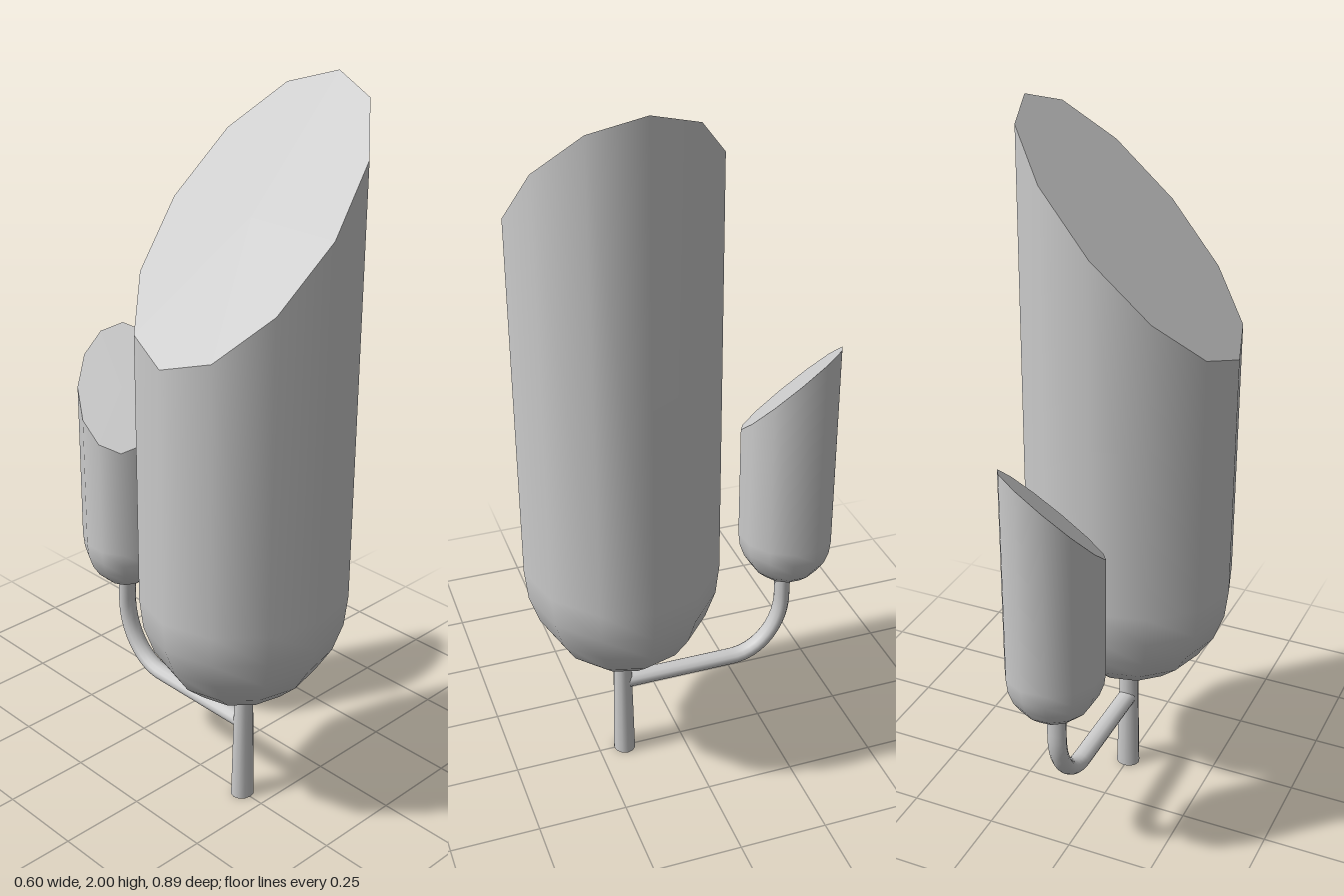
import * as THREE from 'three';

const material = new THREE.MeshStandardMaterial({ color: 0xcccccc });

function addMesh(parent, geometry, name) {
  const mesh = new THREE.Mesh(geometry, material);
  mesh.name = name;
  parent.add(mesh);
  return mesh;
}

// Raise vertices above the given height along the slanted cut
function slant(geometry, above) {
  const p = geometry.attributes.position;
  for (let i = 0; i < p.count; i++) {
    if (p.getY(i) > above) p.setY(i, p.getY(i) + p.getX(i) * 1.033);
  }
  return geometry;
}

// Rounded-bottom oval pod with a slanted flat top; its base is at y = 0
function createPod(name) {
  const pod = new THREE.Group();
  pod.name = name;
  const R = 0.3, H = 0.34, sides = 12, top = 1.335;
  const low = H * Math.sin(Math.PI * 75 / 180);
  const profile = [];
  for (let deg = 75; deg >= 0; deg -= 15) {
    const a = THREE.MathUtils.degToRad(deg);
    profile.push(new THREE.Vector2(R * Math.cos(a), low - H * Math.sin(a)));
  }
  profile.push(new THREE.Vector2(R, top));
  addMesh(pod, slant(new THREE.LatheGeometry(profile, sides), 1), 'podShell');

  const cap = new THREE.CircleGeometry(R, sides).rotateX(-Math.PI / 2).translate(0, top, 0);
  slant(cap, 1).computeVertexNormals();
  addMesh(pod, cap, 'slantedTop');

  addMesh(pod, new THREE.CircleGeometry(profile[0].x, sides).rotateX(Math.PI / 2), 'podBase');
  pod.scale.z = 0.9;
  return pod;
}

export function createModel() {
  const model = new THREE.Group();
  model.name = 'twinPods';

  const mainPod = createPod('mainPod');
  mainPod.position.set(0, 0.357, 0.175);
  model.add(mainPod);

  // Small pod is a turned, scaled copy
  const smallPod = createPod('smallPod');
  smallPod.scale.multiplyScalar(0.455);
  smallPod.rotation.y = 0.82;
  smallPod.position.set(0, 0.5, -0.316);
  model.add(smallPod);

  // Tapered stem
  const stem = addMesh(model, new THREE.CylinderGeometry(0.027, 0.035, 0.37, 12), 'stem');
  stem.scale.z = 0.9;
  stem.position.set(0, 0.185, 0.175);

  // Side arm: straight run, quarter bend, short riser
  const path = new THREE.CurvePath();
  const v = (y, z) => new THREE.Vector3(0, y, z);
  path.add(new THREE.LineCurve3(v(0.245, 0.17), v(0.245, -0.16)));
  path.add(new THREE.CubicBezierCurve3(
    v(0.245, -0.16), v(0.245, -0.245), v(0.33, -0.313), v(0.43, -0.313)));
  path.add(new THREE.LineCurve3(v(0.43, -0.313), v(0.515, -0.313)));
  const arm = addMesh(model, new THREE.TubeGeometry(path, 28, 0.0215, 12), 'sideArm');
  arm.scale.x = 1.27;

  return model;
}
